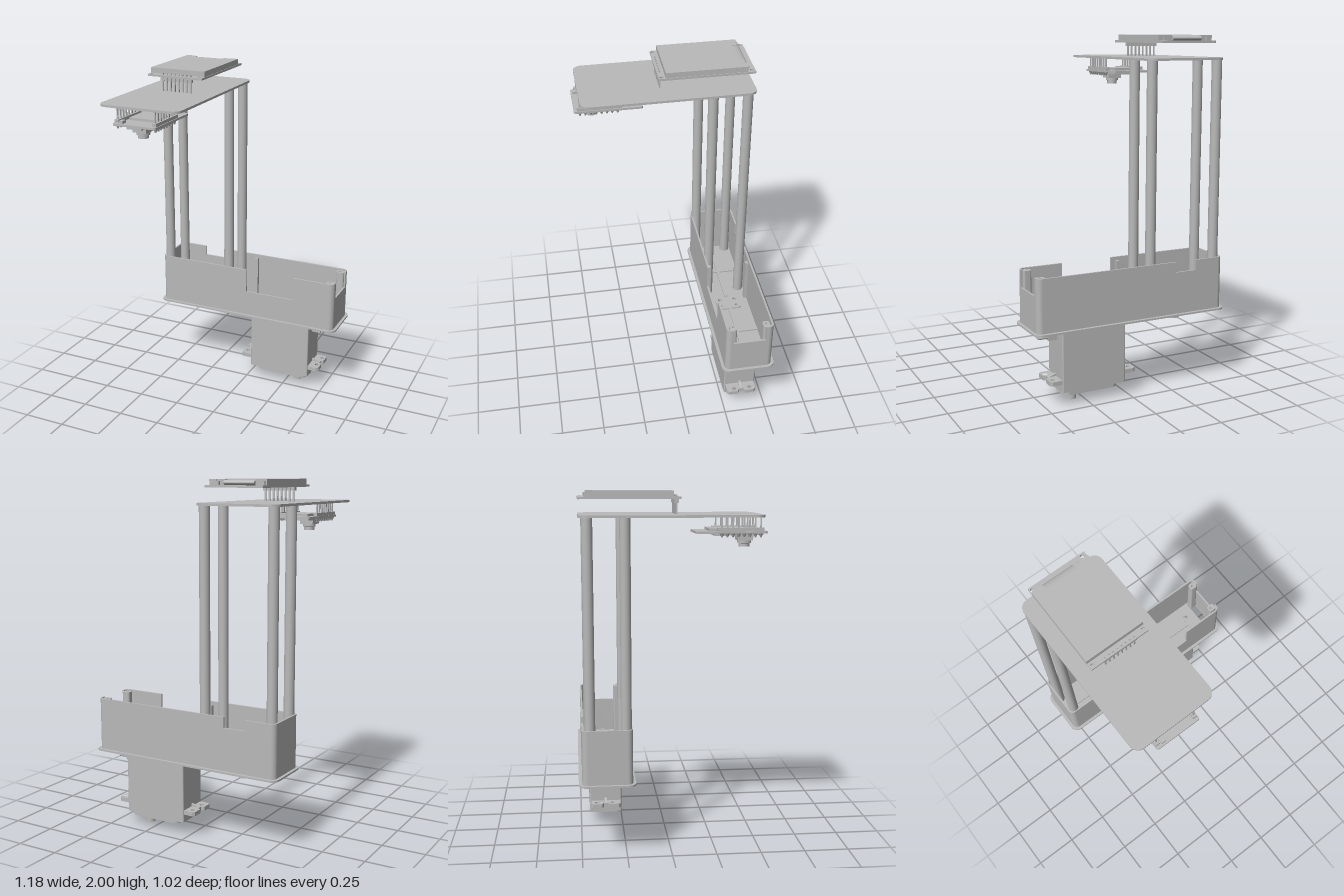
import * as THREE from 'three';

const grey = new THREE.MeshStandardMaterial({ color: 0xb9b9b9 });
grey.name = 'plain grey';

// Plan-view shapes use (x, -z) so that an upward extrusion lands in place.
function roundRect(x0, x1, z0, z1, r) {
  const s = new THREE.Shape();
  const a = -z1, b = -z0;
  s.moveTo(x0 + r, a);
  s.lineTo(x1 - r, a);
  s.absarc(x1 - r, a + r, r, -Math.PI / 2, 0);
  s.lineTo(x1, b - r);
  s.absarc(x1 - r, b - r, r, 0, Math.PI / 2);
  s.lineTo(x0 + r, b);
  s.absarc(x0 + r, b - r, r, Math.PI / 2, Math.PI);
  s.lineTo(x0, a + r);
  s.absarc(x0 + r, a + r, r, Math.PI, Math.PI * 1.5);
  return s;
}
const plan = (pts) => new THREE.Shape(pts.map(([x, z]) => new THREE.Vector2(x, -z)));
function drill(shape, points, r) {
  for (const [x, z] of points) {
    const h = new THREE.Path();
    h.absarc(x, -z, r, 0, Math.PI * 2, true);
    shape.holes.push(h);
  }
  return shape;
}

function add(parent, name, geometry) {
  const m = new THREE.Mesh(geometry, grey);
  m.name = name;
  parent.add(m);
  return m;
}
function slab(parent, name, shape, y0, y1) {
  const g = new THREE.ExtrudeGeometry(shape, { depth: y1 - y0, bevelEnabled: false, curveSegments: 10 });
  g.rotateX(-Math.PI / 2).translate(0, y0, 0);
  return add(parent, name, g);
}
function box(parent, name, x0, x1, y0, y1, z0, z1) {
  const g = new THREE.BoxGeometry(x1 - x0, y1 - y0, z1 - z0);
  g.translate((x0 + x1) / 2, (y0 + y1) / 2, (z0 + z1) / 2);
  return add(parent, name, g);
}
function rod(parent, name, x, z, y0, y1, r, rTop = r, sides = 24) {
  const g = new THREE.CylinderGeometry(rTop, r, y1 - y0, sides);
  g.translate(x, (y0 + y1) / 2, z);
  return add(parent, name, g);
}
// Turned part from [radius, y] pairs listed from bottom to top
function turned(parent, name, x, z, pts) {
  const g = new THREE.LatheGeometry(pts.map(([r, y]) => new THREE.Vector2(r, y)), 32).toNonIndexed();
  g.computeVertexNormals();
  g.translate(x, 0, z);
  return add(parent, name, g);
}
function group(parent, name) {
  const g = new THREE.Group();
  g.name = name;
  parent.add(g);
  return g;
}

const SCREWS = [[-0.015, -0.405], [-0.015, -0.31], [0.455, -0.405], [0.455, -0.31]];

function buildTray(root) {
  const tray = group(root, 'tray');
  const X0 = -0.578, X1 = 0.573, Z0 = -0.494, Z1 = -0.22, Y0 = 0.45, Y1 = 0.75, T = 0.011, R = 0.03;

  // Floor with screw holes and a cable opening
  const floor = drill(roundRect(-0.595, 0.59, -0.513, -0.203, 0.045), SCREWS, 0.011);
  drill(floor, [[0.04, -0.405], [0.04, -0.31]], 0.011);
  floor.holes.push(new THREE.Path(roundRect(0.515, 0.56, -0.44, -0.275, 0.004).getPoints(4)));
  slab(tray, 'floor', floor, 0.44, Y0);

  // Side walls, each with a notch in its upper edge
  function wall(name, a, b, n0, n1, ny) {
    const pts = [[a, Y0], [b, Y0], [b, Y1], [n1, Y1], [n1, ny], [n0, ny], [n0, Y1], [a, Y1]];
    const s = new THREE.Shape(pts.map(([u, v]) => new THREE.Vector2(u, v)));
    return add(tray, name, new THREE.ExtrudeGeometry(s, { depth: T, bevelEnabled: false }));
  }
  wall('frontWall', X0 + R, X1 - R, 0.005, 0.312, 0.605).position.z = Z1 - T;
  wall('backWall', X0 + R, X1 - R, -0.4, -0.27, 0.69).position.z = Z0;
  const right = wall('rightEndWall', -Z1 + R, -Z0 - R, 0.262, 0.447, 0.65);
  right.rotation.y = Math.PI / 2;
  right.position.x = X1 - T;
  box(tray, 'leftEndWall', X0, X0 + T, Y0, Y1, Z0 + R, Z1 - R);

  // Rounded wall corners
  for (const [x, z, a] of [[X1 - R, Z0 + R, 0], [X0 + R, Z0 + R, 1], [X0 + R, Z1 - R, 2], [X1 - R, Z1 - R, 3]]) {
    const s = new THREE.Shape();
    s.absarc(x, -z, R, a * Math.PI / 2, (a + 1) * Math.PI / 2, false);
    s.absarc(x, -z, R - T, (a + 1) * Math.PI / 2, a * Math.PI / 2, true);
    slab(tray, 'wallCorner', s, Y0, Y1);
  }

  // Screw posts at the right end, ribs on the long walls
  for (const z of [-0.453, -0.261]) {
    const out = z < -0.35 ? -1 : 1;
    slab(tray, 'cornerPost', drill(roundRect(0.515, 0.563, z - 0.02, z + 0.02, 0.012), [[0.535, z]], 0.007), Y0, 0.745);
    const zw = out < 0 ? Z0 + T : Z1 - T;
    box(tray, 'wallRib', -0.046, -0.022, Y0, 0.73, Math.min(zw, zw - out * 0.018), Math.max(zw, zw - out * 0.018));
  }

  // Low floor ribs and servo mounting pads
  const top = 0.458;
  box(tray, 'longRib', -0.56, -0.05, Y0, top, -0.367, -0.348);
  box(tray, 'longRib', 0.07, 0.43, Y0, top, -0.367, -0.348);
  for (const x of [-0.3, 0.268]) box(tray, 'crossRib', x - 0.011, x + 0.011, Y0, top, -0.483, -0.231);
  const padHoles = [...SCREWS.slice(0, 2), [0.04, -0.405], [0.04, -0.31]];
  slab(tray, 'innerPad', drill(roundRect(-0.043, 0.067, -0.432, -0.283, 0.025), padHoles, 0.011), Y0, top);
  const pad = plan([[0.43, -0.395], [0.455, -0.43], [0.515, -0.44], [0.515, -0.275], [0.455, -0.285], [0.43, -0.32]]);
  slab(tray, 'outerPad', drill(pad, SCREWS.slice(2), 0.011), Y0, top);

  // Pivot hub and round cap under the floor
  turned(tray, 'pivotHub', -0.33, -0.357, [[0.02, 0.44], [0.02, 0.39], [0.04, 0.39], [0.04, 0.422], [0.07, 0.422],
    [0.07, 0.427], [0.085, 0.427], [0.085, 0.42], [0.098, 0.42], [0.098, 0.44]]);
  rod(tray, 'roundCap', -0.18, -0.31, 0.436, 0.44, 0.043);
}

function buildServo(root) {
  const servo = group(root, 'servo');
  const zc = -0.352;
  slab(servo, 'servoBody', roundRect(0.024, 0.41, -0.447, -0.257, 0.008), 0.08, 0.416);
  slab(servo, 'servoBackCap', roundRect(0.03, 0.404, -0.442, -0.262, 0.012), 0.416, 0.43);
  slab(servo, 'servoGearCover', roundRect(0.07, 0.39, -0.437, -0.267, 0.03), 0.058, 0.08);
  for (const x of [0.055, 0.38]) for (const z of [-0.42, -0.284]) rod(servo, 'capScrew', x, z, 0.43, 0.44, 0.018);

  // Mounting ears with screw holes, an end slit and a gusset
  for (const side of [-1, 1]) {
    const ex = (d) => (side < 0 ? 0.024 - d : 0.41 + d);
    const pts = [[0, -0.44], [0.055, -0.44], [0.068, -0.428], [0.068, -0.375], [0.05, -0.365], [0.05, -0.339],
      [0.068, -0.329], [0.068, -0.276], [0.055, -0.264], [0, -0.264]];
    const ear = plan(pts.map(([d, z]) => [ex(d), z]));
    slab(servo, 'mountingEar', drill(ear, SCREWS.slice(side < 0 ? 0 : 2, side < 0 ? 2 : 4), 0.013), 0.126, 0.15);
    const tri = new THREE.Shape([[0, 0.15], [0.045, 0.15], [0, 0.166]].map(([d, y]) => new THREE.Vector2(ex(d), y)));
    const g = new THREE.ExtrudeGeometry(tri, { depth: 0.014, bevelEnabled: false });
    add(servo, 'earGusset', g.translate(0, 0, zc - 0.007));
  }

  // Output shaft pointing down
  turned(servo, 'outputShaft', 0.315, zc, [[0.012, 0.03], [0.012, 0.005], [0.026, 0.005], [0.026, 0.04], [0.045, 0.042],
    [0.062, 0.052], [0.085, 0.056], [0.085, 0.062]]);
  rod(servo, 'shaftTip', 0.315, zc, 0, 0.03, 0.016, 0.016, 16);
  rod(servo, 'gearBump', 0.16, zc, 0.052, 0.06, 0.06);

  // Cable outlet
  box(servo, 'cableBoot', 0.41, 0.465, 0.367, 0.398, -0.382, -0.322);
  for (const z of [-0.368, -0.352, -0.336]) {
    const wire = rod(servo, 'cableWire', 0, 0, -0.03, 0.03, 0.008, 0.008, 12);
    wire.rotation.z = Math.PI / 2;
    wire.position.set(0.488, 0.384, z);
  }
}

function buildTower(root) {
  const tower = group(root, 'tower');
  for (const x of [-0.539, -0.127]) for (const z of [-0.449, -0.254]) rod(tower, 'pillar', x, z, 0.45, 1.866, 0.029);
  slab(tower, 'topPlate', roundRect(-0.569, -0.083, -0.497, 0.475, 0.05), 1.864, 1.877).rotation.y = 0.008;
}

function buildDisplay(root) {
  const display = group(root, 'display');
  const corners = [[-0.486, -0.474], [-0.181, -0.476], [-0.48, 0.027], [-0.175, 0.024]];
  slab(display, 'displayBoard', drill(roundRect(-0.499, -0.157, -0.495, 0.042, 0.003), corners, 0.011), 1.957, 1.969);

  // Screen with a step at the back for the folded ribbon
  const screen = plan([[-0.499, 0.003], [-0.16, 0.003], [-0.16, -0.452], [-0.2, -0.452], [-0.2, -0.445], [-0.25, -0.445],
    [-0.25, -0.415], [-0.43, -0.415], [-0.43, -0.445], [-0.465, -0.445], [-0.465, -0.452], [-0.499, -0.452]]);
  slab(display, 'screen', screen, 1.969, 2);
  const ribbon = rod(display, 'ribbonFold', 0, 0, -0.09, 0.09, 0.016);
  ribbon.rotation.z = Math.PI / 2;
  ribbon.scale.z = 2.6;
  ribbon.position.set(-0.34, 1.982, -0.42);
  for (const x of [-0.475, -0.205]) box(display, 'screenClip', x - 0.016, x + 0.016, 1.969, 1.99, -0.462, -0.44);

  // Header pins down to the top plate
  for (let i = 0; i < 8; i++) {
    const x = -0.41 + i * 0.0249;
    box(display, 'headerPin', x - 0.004, x + 0.004, 1.872, 1.978, 0.022, 0.03);
    box(display, 'headerBlock', x - 0.011, x + 0.011, 1.935, 1.957, 0.015, 0.037);
  }
}

function buildCamera(root) {
  const cam = group(root, 'cameraModule');
  const xc = -0.329;
  slab(cam, 'cameraBoard', roundRect(-0.459, -0.198, 0.125, 0.506, 0.012), 1.776, 1.788);
  box(cam, 'shieldCan', -0.415, -0.243, 1.788, 1.802, 0.2, 0.4);
  box(cam, 'memorySlot', -0.405, -0.253, 1.762, 1.776, 0.23, 0.43);
  box(cam, 'edgeConnector', -0.375, -0.283, 1.764, 1.776, 0.45, 0.5);
  box(cam, 'resetButton', -0.425, -0.4, 1.788, 1.803, 0.46, 0.495);

  // Two rows of pins with solder cones beneath
  for (const x of [-0.443, -0.215]) {
    box(cam, 'pinStrip', x - 0.012, x + 0.012, 1.788, 1.806, 0.24, 0.488);
    for (let i = 0; i < 8; i++) {
      const z = 0.473 - i * 0.0298;
      box(cam, 'boardPin', x - 0.004, x + 0.004, 1.755, 1.866, z - 0.004, z + 0.004);
      rod(cam, 'solderCone', x, z, 1.757, 1.776, 0.004, 0.013, 10);
    }
  }

  // Lens housing facing down
  box(cam, 'lensBase', xc - 0.042, xc + 0.042, 1.735, 1.764, 0.362, 0.446);
  turned(cam, 'lensBarrel', xc, 0.404, [[0, 1.712], [0.018, 1.712], [0.02, 1.7], [0.03, 1.7], [0.03, 1.718], [0.038, 1.72], [0.038, 1.738]]);
}

export function createModel() {
  const root = new THREE.Group();
  root.name = 'servoDisplayStand';
  buildTray(root);
  buildServo(root);
  buildTower(root);
  buildDisplay(root);
  buildCamera(root);
  return root;
}
